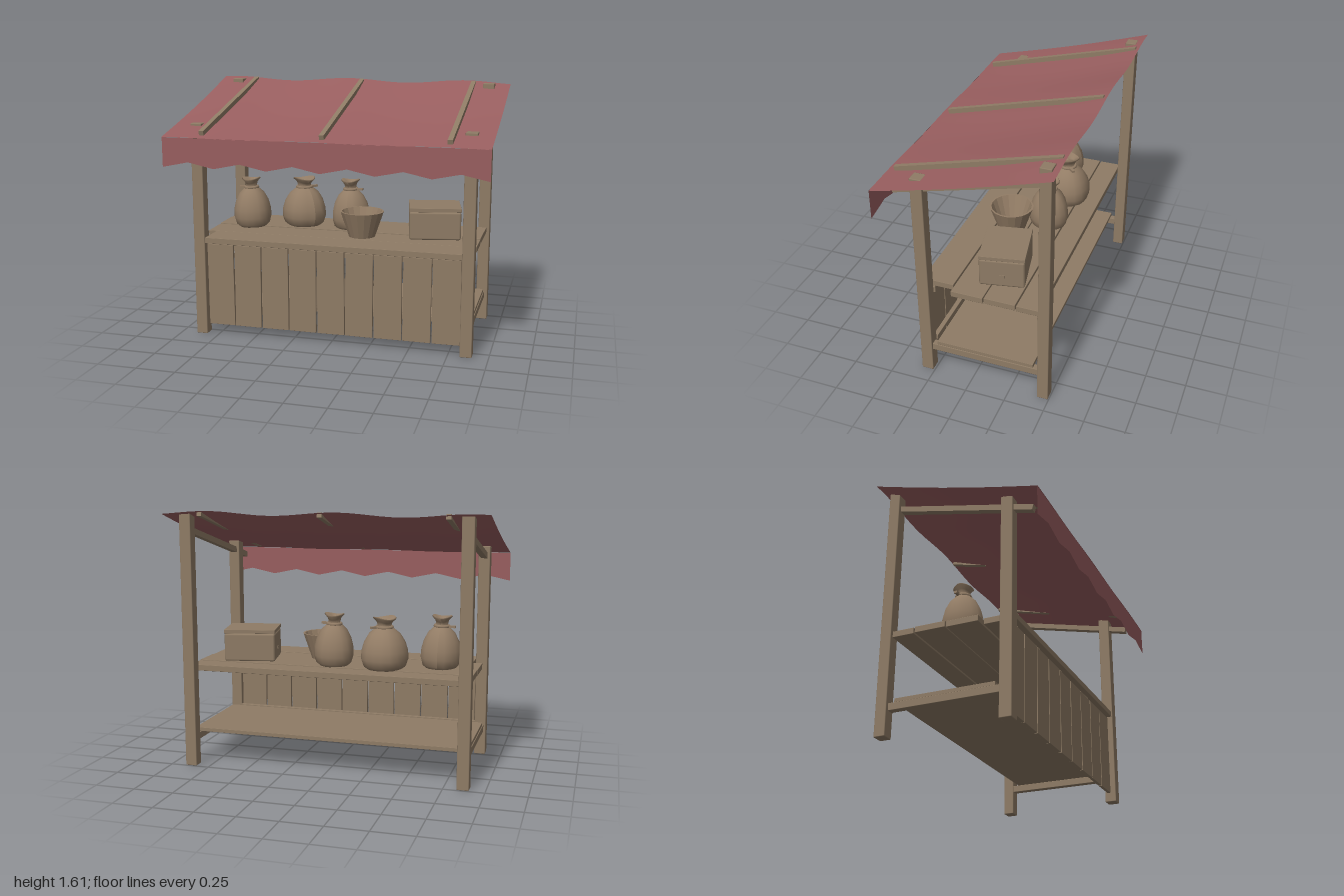
import * as THREE from 'three';
import { RoundedBoxGeometry } from 'three/addons/geometries/RoundedBoxGeometry.js';

const mat = (name, color, side = THREE.FrontSide) => {
  const m = new THREE.MeshStandardMaterial({ color, side });
  m.name = name;
  return m;
};

export function createModel() {
  const model = new THREE.Group();
  model.name = 'marketStall';
  const wood = mat('wood', 0x8e7b65);
  const sackcloth = mat('sackcloth', 0x927c65, THREE.DoubleSide);
  const cloth = mat('red cloth', 0x985e5f, THREE.DoubleSide);

  const add = (name, geometry, material, parent = model) => {
    const mesh = new THREE.Mesh(geometry, material);
    mesh.name = name;
    parent.add(mesh);
    return mesh;
  };
  // Softly chamfered board given by its extents
  const board = (name, x0, x1, y0, y1, z0, z1, parent = model) => {
    const [w, h, d] = [x1 - x0, y1 - y0, z1 - z0];
    const geo = new RoundedBoxGeometry(w, h, d, 1, Math.min(w, h, d) * 0.07);
    const mesh = add(name, geo, wood, parent);
    mesh.position.set((x0 + x1) / 2, (y0 + y1) / 2, (z0 + z1) / 2);
    return mesh;
  };
  // Sloping beam between two (z, y) points
  const beam = (name, x, w, t, zFront, yFront, zBack, yBack) => {
    const dz = zFront - zBack, dy = yBack - yFront;
    const mesh = add(name, new THREE.BoxGeometry(w, t, Math.hypot(dz, dy)), wood);
    mesh.position.set(x, (yFront + yBack) / 2, (zFront + zBack) / 2);
    mesh.rotation.x = Math.atan2(dy, dz);
  };

  // Posts, side rails and rafters
  for (const s of [-1, 1]) {
    const f = s * 0.862, b = s * 0.868;
    board('frontPost', f - 0.037, f + 0.037, 0, 1.378, 0.26, 0.335);
    board('backPost', b - 0.037, b + 0.037, 0, 1.602, -0.495, -0.425);
    board('sideRail', f - 0.022, f + 0.022, 0.155, 0.2, -0.43, 0.265);
    beam('rafter', f, 0.04, 0.036, 0.455, 1.27, -0.43, 1.488);
  }

  // Counter planks and lower shelf
  board('counterPlank', -0.826, 0.826, 0.607, 0.645, 0.13, 0.328);
  [[-0.078, 0.122, 0.605], [-0.28, -0.086, 0.609], [-0.425, -0.287, 0.606]].forEach(([z0, z1, y]) =>
    board('counterPlank', -0.885, 0.885, y, y + 0.038, z0, z1));
  board('lowerShelf', -0.88, 0.88, 0.2, 0.224, -0.39, 0.23);

  // Front panel boards on their cleats
  const pitch = 1.65 / 9;
  for (let i = 0; i < 9; i++) {
    const x = -0.825 + i * pitch;
    const p = board('frontPanelBoard', x + 0.004, x + pitch - 0.004, 0.06, 0.598, 0.278, 0.3);
    p.rotation.z = [0.006, -0.005, 0.003, -0.004][i % 4];
  }
  board('upperCleat', -0.83, 0.83, 0.56, 0.605, 0.247, 0.28);
  board('lowerCleat', -0.83, 0.83, 0.195, 0.225, 0.25, 0.28);

  // Sagging canopy sheet
  const wave = x => 0.012 * Math.cos((x + 0.1) * Math.PI / 0.4);
  const canopy = new THREE.PlaneGeometry(2, 1.07, 32, 12);
  canopy.rotateX(-Math.PI / 2);
  const p = canopy.attributes.position;
  for (let i = 0; i < p.count; i++) {
    const x = p.getX(i), z = p.getZ(i);
    const t = (0.535 - z) / 1.07;
    const sag = Math.sin(Math.PI * t) * (0.012 + 0.014 * (1 - x * x));
    p.setY(i, 1.314 + 0.287 * t - sag + wave(x) * (0.25 + 0.75 * t));
  }
  canopy.computeVertexNormals();
  add('canopy', canopy, cloth);

  // Hanging valance with a pointed hem
  const hem = new THREE.Shape();
  hem.moveTo(-1, 1.314);
  for (let i = 0; i <= 12; i++) hem.lineTo(-1 + i / 6, i % 2 ? 1.165 : 1.13);
  hem.lineTo(1, 1.314);
  const valance = add('valance', new THREE.ShapeGeometry(hem), cloth);
  valance.position.z = 0.532;

  // Battens laid over the canopy
  for (const x of [-0.76, 0, 0.76]) beam('canopyBatten', x, 0.03, 0.03, 0.487, 1.339, -0.515, 1.597);

  // Tied sacks
  const sack = (x, z, r, h, turn, lean) => {
    const g = new THREE.Group();
    g.name = 'sack';
    g.position.set(x, 0.645, z);
    g.rotation.set(0, turn, lean);
    const profile = [[0, 0], [0.72, 0], [0.9, 0.06], [1, 0.2], [0.98, 0.36], [0.87, 0.53], [0.66, 0.69],
      [0.42, 0.78], [0.28, 0.83], [0.34, 0.91], [0.5, 0.98], [0.46, 1], [0.25, 0.94], [0, 0.92]];
    const body = new THREE.LatheGeometry(profile.map(([a, b]) => new THREE.Vector2(a * r, b * h)), 18);
    const v = body.attributes.position;
    for (let i = 0; i < v.count; i++) {
      const a = Math.atan2(v.getZ(i), v.getX(i));
      const k = 1 + 0.025 * Math.cos(5 * a);
      v.setX(i, v.getX(i) * k);
      v.setZ(i, v.getZ(i) * k);
      if (v.getY(i) > h * 0.88) v.setY(i, v.getY(i) + 0.007 * Math.cos(2 * a));
    }
    body.computeVertexNormals();
    add('sackBody', body, sackcloth, g);
    const tie = add('sackTie', new THREE.TorusGeometry(r * 0.33, 0.011, 6, 16), sackcloth, g);
    tie.rotation.x = Math.PI / 2;
    tie.position.y = h * 0.81;
    const end = add('tieEnd', new THREE.BoxGeometry(0.05, 0.014, 0.018), sackcloth, g);
    end.position.set(r * 0.33 + 0.02, h * 0.81, 0.01);
    model.add(g);
  };
  sack(-0.65, -0.09, 0.125, 0.325, Math.PI, -0.03);
  sack(-0.322, -0.21, 0.147, 0.32, 0.8, 0);
  sack(0.01, -0.19, 0.125, 0.325, 0, 0.02);

  // Open tapered bowl
  const bowlProfile = [[0, 0], [0.085, 0], [0.141, 0.165], [0.129, 0.165], [0.076, 0.02], [0, 0.02]];
  const bowlGeo = new THREE.LatheGeometry(bowlProfile.map(([a, b]) => new THREE.Vector2(a, b)), 18).toNonIndexed();
  bowlGeo.computeVertexNormals();
  add('bowl', bowlGeo, sackcloth).position.set(0.134, 0.645, 0.02);

  // Turned crate with lid and hand holds
  const crate = new THREE.Group();
  crate.name = 'crate';
  crate.position.set(0.583, 0.645, -0.113);
  crate.rotation.y = 0.2;
  board('crateBody', -0.163, 0.163, 0, 0.18, -0.137, 0.137, crate);
  board('crateLid', -0.164, 0.164, 0.181, 0.205, -0.138, 0.138, crate);
  for (const s of [-1, 1]) {
    const hold = add('crateHandHold', new THREE.BoxGeometry(0.006, 0.02, 0.032), wood, crate);
    hold.position.set(s * 0.164, 0.073, 0);
  }
  model.add(crate);

  return model;
}
